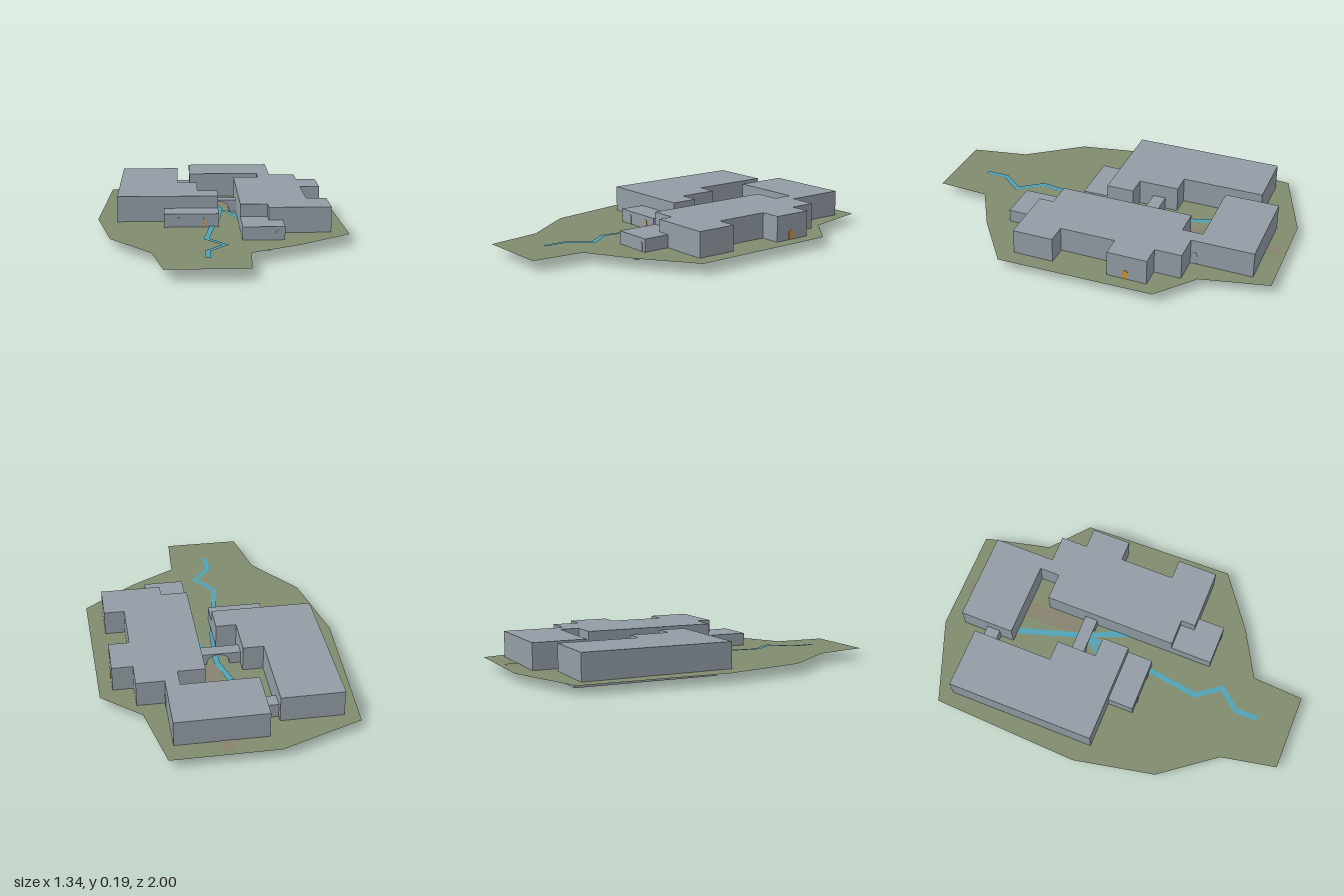
import * as THREE from 'three';

const mat = (name, color, side = THREE.FrontSide) => {
  const m = new THREE.MeshStandardMaterial({ color, side });
  m.name = name;
  return m;
};

// Gently sloping terrain height
const groundY = (x, z) => 0.053 + 0.003 * x + 0.004 * z;

// Flat shape from [x, z] plan points
const plan = (pts) => new THREE.Shape(pts.map(([x, z]) => new THREE.Vector2(x, -z)));
const rect = (x0, x1, z0, z1) => [[x0, z0], [x1, z0], [x1, z1], [x0, z1]];

// Drape a flat geometry over the terrain
function drape(geo, lift) {
  const p = geo.attributes.position;
  for (let i = 0; i < p.count; i++) p.setY(i, groundY(p.getX(i), p.getZ(i)) + lift);
  geo.computeVertexNormals();
  return geo;
}

// Mitred ribbon outline along [x, z] points
function ribbon(pts, width) {
  const left = [], right = [];
  pts.forEach(([x, z], i) => {
    const a = pts[Math.max(i - 1, 0)], b = pts[Math.min(i + 1, pts.length - 1)];
    const d1 = new THREE.Vector2(x - a[0], z - a[1]).normalize();
    const d2 = new THREE.Vector2(b[0] - x, b[1] - z).normalize();
    const t = d1.clone().add(d2).normalize();
    const ref = i === 0 ? d2 : d1;
    const w = width / 2 / Math.max(0.5, t.dot(ref));
    left.push([x - t.y * w, z + t.x * w]);
    right.unshift([x + t.y * w, z - t.x * w]);
  });
  return left.concat(right);
}

// Arched outline standing on y = 0
function arch(w, h) {
  const r = w / 2, s = new THREE.Shape();
  s.moveTo(-r, 0);
  s.lineTo(r, 0);
  s.lineTo(r, h - r);
  s.absarc(0, h - r, r, 0, Math.PI, false);
  s.closePath();
  return s;
}

export function createModel() {
  const group = new THREE.Group();
  const stone = mat('stone grey', 0x929ca5);
  const grass = mat('grass green', 0x808b6e, THREE.DoubleSide);
  const water = mat('water blue', 0x4fa2b6, THREE.DoubleSide);
  const path = mat('path brown', 0x88826f, THREE.DoubleSide);
  const wood = mat('door orange', 0xcc923f);

  const add = (name, geo, material) => {
    const m = new THREE.Mesh(geo, material);
    m.name = name;
    group.add(m);
    return m;
  };
  const sheet = (name, pts, lift, material) =>
    add(name, drape(new THREE.ShapeGeometry(plan(pts)).rotateX(-Math.PI / 2), lift), material);
  const block = (name, pts, y0, y1) => {
    const g = new THREE.ExtrudeGeometry(plan(pts), { depth: y1 - y0, bevelEnabled: false });
    return add(name, g.rotateX(-Math.PI / 2).translate(0, y0, 0), stone);
  };

  // Terrain
  sheet('ground', [
    [-0.2, -1], [0.355, -1], [0.44, -0.64], [0.645, -0.47], [0.665, 0.37], [0.38, 0.58], [0.13, 0.72],
    [0.115, 1], [-0.3, 1], [-0.36, 0.7], [-0.58, 0.41], [-0.67, -0.03], [-0.635, -0.84],
  ], 0, grass);

  // Paths
  sheet('backPath', rect(0.02, 0.085, -0.97, -0.88), 0.002, path);
  sheet('courtyardPath', rect(0.0, 0.09, -0.6, -0.27), 0.002, path);

  // Streams meeting beneath the bridge
  const streams = [
    ['upperStream', [[-0.105, -0.62], [0.005, -0.27], [0.01, -0.18]], 0.032],
    ['lowerStream', [[0.005, -0.2], [-0.008, 0], [-0.045, 0.17], [-0.085, 0.45], [0.008, 0.575],
      [-0.085, 0.69], [-0.085, 0.81]], 0.028],
    ['westBranch', [[0, -0.21], [-0.07, -0.11]], 0.025],
  ];
  for (const [name, pts, w] of streams) sheet(name, ribbon(pts, w), 0.005, water);
  sheet('eastBranch', [[0.015, -0.21], [0.04, -0.21], [0.1, -0.1], [0.1, 0]], 0.0045, water);

  // Halls
  const base = 0.044, high = 0.192, low = 0.125;
  block('leftHall', [
    [-0.56, -0.785], [-0.23, -0.785], [-0.23, -0.34], [-0.12, -0.34], [-0.12, -0.12],
    [-0.01, -0.12], [-0.01, 0.03], [-0.56, 0.03],
  ], base, high);
  block('backHall', rect(-0.16, 0.318, -0.895, -0.6), base, high);
  block('rightHall', [
    [0.1, -0.49], [0.245, -0.49], [0.245, -0.6], [0.318, -0.6], [0.318, -0.56], [0.465, -0.56],
    [0.465, -0.415], [0.575, -0.415], [0.575, -0.2], [0.465, -0.2], [0.465, 0.1], [0.575, 0.1],
    [0.575, 0.32], [0.245, 0.32], [0.245, 0.24], [0.1, 0.24],
  ], base, high);

  // Lower wings
  block('leftAnnex', rect(-0.305, -0.01, 0.03, 0.17), base, low);
  block('rightAnnex', [[0.1, 0.24], [0.245, 0.24], [0.245, 0.32], [0.318, 0.32], [0.318, 0.468], [0.1, 0.468]], base, low);
  block('hallLink', rect(-0.23, -0.16, -0.75, -0.675), base, low);

  // Basement with connecting corridor
  block('basement', [
    [0.1, 0.468], [0.245, 0.468], [0.245, -0.335], [-0.12, -0.335], [-0.12, -0.4], [-0.23, -0.4],
    [-0.23, -0.78], [-0.45, -0.78], [-0.45, 0], [-0.23, 0], [-0.23, -0.26], [0.1, -0.26],
  ], 0, base);

  // Bridge with an arch over the streams
  const side = new THREE.Shape();
  side.moveTo(-0.12, 0.05);
  side.lineTo(-0.06, 0.05);
  side.lineTo(-0.06, 0.07);
  side.absarc(0, 0.07, 0.06, Math.PI, 0, true);
  side.lineTo(0.06, 0.05);
  side.lineTo(0.1, 0.05);
  side.lineTo(0.1, 0.14);
  side.lineTo(-0.12, 0.14);
  side.closePath();
  // Flatten the arch so that the deck stays low
  const bridge = new THREE.ExtrudeGeometry(side, { depth: 0.07, bevelEnabled: false, curveSegments: 8 });
  bridge.translate(0, -0.05, -0.27).scale(1, 0.75, 1).translate(0, 0.05, 0);
  add('bridge', bridge, stone);

  // Arched doors: [name, x, z, turn, width, height, material]
  const doors = [
    ['annexDoor', -0.23, 0.17, 0, 0.032, 0.05, stone],
    ['annexDoorFrame', -0.085, 0.17, 0, 0.03, 0.05, stone],
    ['rightAnnexDoor', 0.283, 0.468, 0, 0.03, 0.05, stone],
    ['sideDoor', 0.575, -0.3, Math.PI / 2, 0.034, 0.05, wood],
    ['rearDoor', 0.318, -0.58, Math.PI / 2, 0.034, 0.065, stone],
  ];
  for (const [name, x, z, turn, w, h, material] of doors) {
    const g = new THREE.ExtrudeGeometry(arch(w, h), { depth: 0.003, bevelEnabled: false, curveSegments: 6 });
    const d = add(name, g, material);
    d.position.set(x, 0.056, z);
    d.rotation.y = turn;
  }
  const leaf = add('annexDoorLeaf', new THREE.BoxGeometry(0.013, 0.042, 0.005), wood);
  leaf.position.set(-0.09, 0.078, 0.1715);

  return group;
}
